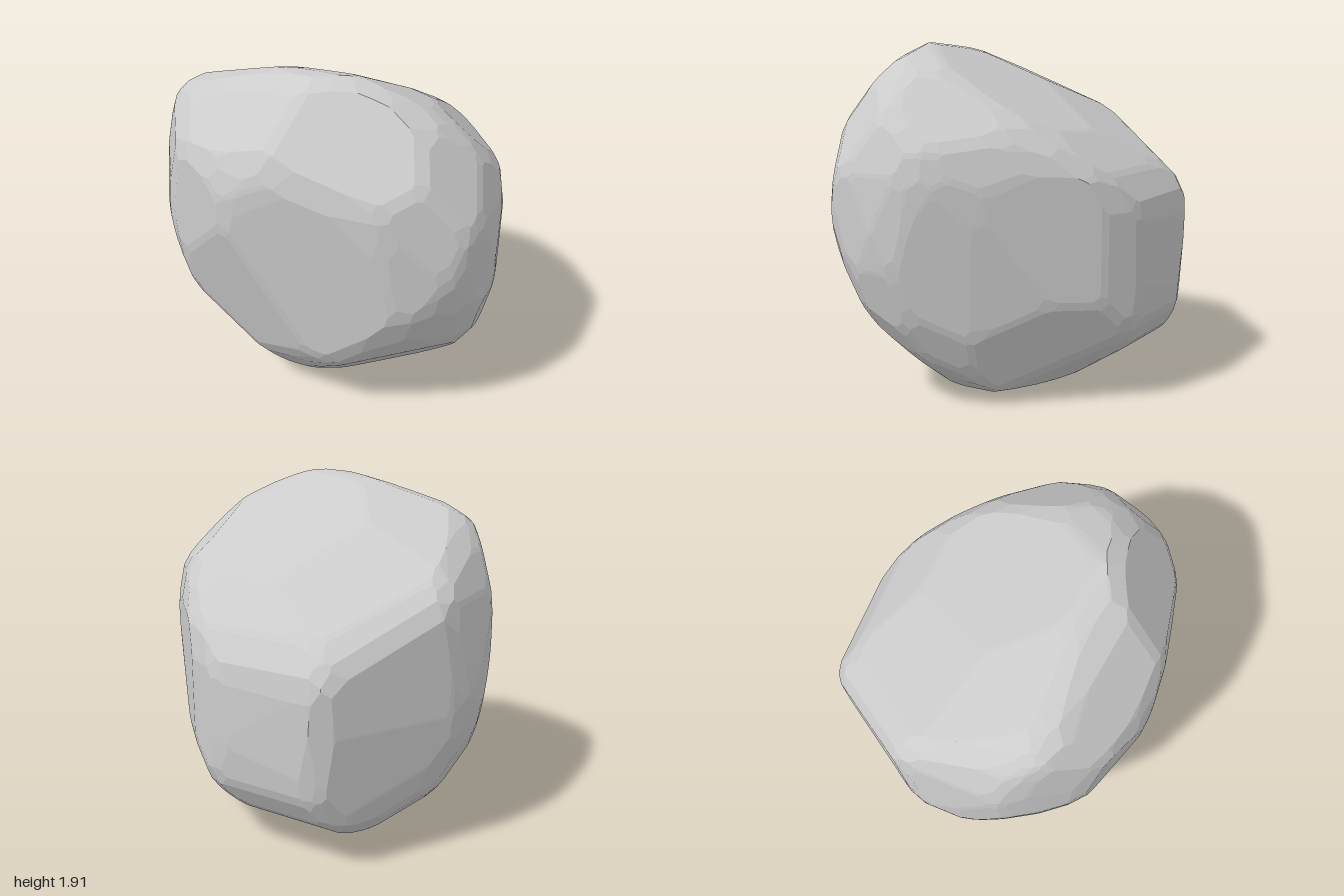
import * as THREE from 'three';
import { ConvexGeometry } from 'three/addons/geometries/ConvexGeometry.js';

const MID = 0.96; // height of the boulder's centre

// Outlines as [across, up] pairs, counter-clockwise, about the centre
const frontOutline = [
  [-1, -.06], [-.96, -.36], [-.83, -.66], [-.6, -.81], [-.2, -.91], [.13, -.96], [.55, -.9],
  [.77, -.71], [.9, -.51], [.98, -.21], [1, 0], [.97, .29], [.87, .61], [.7, .78], [.5, .9],
  [.35, .95], [.22, .96], [-.3, .91], [-.55, .86], [-.7, .79], [-.84, .61], [-.93, .41],
];
const sideOutline = [
  [-.87, .24], [-.79, -.36], [-.77, -.49], [-.66, -.65], [-.45, -.89], [-.27, -.95], [.1, -.96],
  [.43, -.9], [.75, -.69], [.85, -.53], [.87, -.31], [.86, .1], [.75, .28], [.45, .54],
  [-.25, .94], [-.4, .96], [-.52, .95], [-.6, .91], [-.77, .74], [-.82, .64], [-.86, .44],
];
const topOutline = [
  [-1, .1], [-.98, -.1], [-.93, -.33], [-.82, -.53], [-.67, -.69], [-.24, -.87], [.2, -.83],
  [.6, -.75], [.87, -.6], [.95, -.48], [1, -.2], [.96, 0], [.85, .23], [.7, .38], [.3, .77],
  [.08, .87], [-.52, .86], [-.56, .83], [-.95, .23],
];
const frontDiagonal = [
  [-.97, .09], [-.94, -.12], [-.86, -.4], [-.45, -.86], [-.28, -.97], [.34, -1.01], [.53, -.92],
  [.65, -.8], [.74, -.61], [.81, .03], [.81, .12], [.74, .39], [.62, .53], [-.26, .76],
  [-.73, .77], [-.83, .73], [-.89, .63], [-.94, .42],
];
const backDiagonal = [
  [-.81, .39], [-.8, .12], [-.74, -.42], [-.59, -.77], [-.28, -.99], [0, -1.05], [.27, -1.02],
  [.61, -.85], [.82, -.58], [.93, -.22], [.97, .03], [.94, .31], [.88, .65], [.83, .7],
  [.27, 1.05], [.09, 1.09], [-.16, 1.08], [-.47, .91], [-.68, .73], [-.78, .56],
];
const lowDiagonal = [
  [-1.01, -.16], [-.91, -.37], [-.64, -.7], [-.33, -.92], [-.11, -1], [0, -1], [.47, -.91],
  [.68, -.83], [.86, -.64], [.89, -.49], [.96, .23], [.94, .26], [.79, .39], [-.1, .79],
  [-.46, .83], [-.64, .81], [-.82, .72], [-1.05, .37], [-1.07, .09],
];

// Broad facets: outward normal, then a point on the facet
const facets = [
  [[.13, -.07, .99], [-.25, 1.2, .87]],    // broad front
  [[-.17, -.24, .95], [-.25, 1.2, .87]],   // lower front, -x side
  [[-.15, .25, .95], [-.1, 1.62, .81]],    // upper front, -x side
  [[-.2, .7, .68], [-.4, 1.85, .45]],      // front brow, -x side
  [[.3, .6, .74], [.5, 1.55, .66]],        // front brow, +x side
  [[.6, .15, .78], [.6, 1.3, .75]],        // front corner, +x side
  [[.8, .5, .35], [.75, 1.6, .42]],        // upper cheek, +x side
  [[.46, -.74, .5], [.25, .4, .8]],        // undercut, +x side
  [[.57, .72, -.4], [.5, 1.81, .1]],       // shoulder, +x side
];

// One plane per outline edge, extruded along the given direction (degrees)
function outlinePlanes(points, turn, tilt) {
  const t = THREE.MathUtils.degToRad(turn), e = THREE.MathUtils.degToRad(tilt);
  const across = new THREE.Vector3(Math.cos(t), 0, -Math.sin(t));
  const up = new THREE.Vector3(-Math.sin(e) * Math.sin(t), Math.cos(e), -Math.sin(e) * Math.cos(t));
  return points.map(([u, v], i) => {
    const [u2, v2] = points[(i + 1) % points.length];
    const n = new THREE.Vector3()
      .addScaledVector(across, v2 - v).addScaledVector(up, u - u2).normalize();
    return { n, d: u * n.dot(across) + v * n.dot(up) };
  });
}

function facetPlane([normal, [x, y, z]]) {
  const n = new THREE.Vector3(...normal).normalize();
  return { n, d: n.dot(new THREE.Vector3(x, y - MID, z)) };
}

// Corners of the solid enclosed by all planes, each with its three face
// normals; every face of the dual hull gives one corner
function findCorners(planes) {
  const dual = new ConvexGeometry(planes.map(({ n, d }) => n.clone().divideScalar(d)));
  const pos = dual.attributes.position, corners = [];
  const tri = new THREE.Triangle(), m = new THREE.Vector3();
  for (let i = 0; i < pos.count; i += 3) {
    tri.setFromAttributeAndIndices(pos, i, i + 1, i + 2);
    if (tri.getArea() < 1e-8) continue;
    tri.getNormal(m);
    const point = m.clone().divideScalar(m.dot(tri.a));
    if (planes.every(({ n, d }) => n.dot(point) < d + 1e-3)) {
      corners.push({ point, normals: [tri.a, tri.b, tri.c].map((v) => v.clone().normalize()) });
    }
  }
  return corners;
}

// Worn edges and corners: the sharper they are, the deeper the cut
function wearPlanes({ point, normals: [a, b, c] }) {
  return [[a, b], [b, c], [c, a], [a, b, c]].map((set) => {
    const n = set.reduce((sum, v) => sum.add(v), new THREE.Vector3()).normalize();
    const sharp = 1 - Math.min(...set.map((v) => v.dot(n)));
    return { n, d: n.dot(point) - Math.min(0.25 * sharp, 0.03) };
  });
}

export function createModel() {
  const planes = [
    ...outlinePlanes(frontOutline, 0, 0),
    ...outlinePlanes(sideOutline, 90, 0),
    ...outlinePlanes(topOutline, 0, 90),
    ...outlinePlanes(frontDiagonal, 35, 24),
    ...outlinePlanes(backDiagonal, 215, 24),
    ...outlinePlanes(lowDiagonal, 145, -22),
    ...facets.map(facetPlane),
  ];
  const worn = [...planes, ...findCorners(planes).flatMap(wearPlanes)];

  // Keep one point of each tight cluster, then wrap them
  const points = [];
  for (const { point } of findCorners(worn)) {
    if (points.every((p) => p.distanceTo(point) > 0.006)) points.push(point);
  }
  const geometry = new ConvexGeometry(points);
  geometry.computeBoundingBox();
  geometry.translate(0, -geometry.boundingBox.min.y, 0);

  const boulder = new THREE.Mesh(geometry,
    new THREE.MeshStandardMaterial({ color: 0xcccccc, flatShading: true }));
  boulder.name = 'boulder';
  const group = new THREE.Group();
  group.name = 'rock';
  group.add(boulder);
  return group;
}
